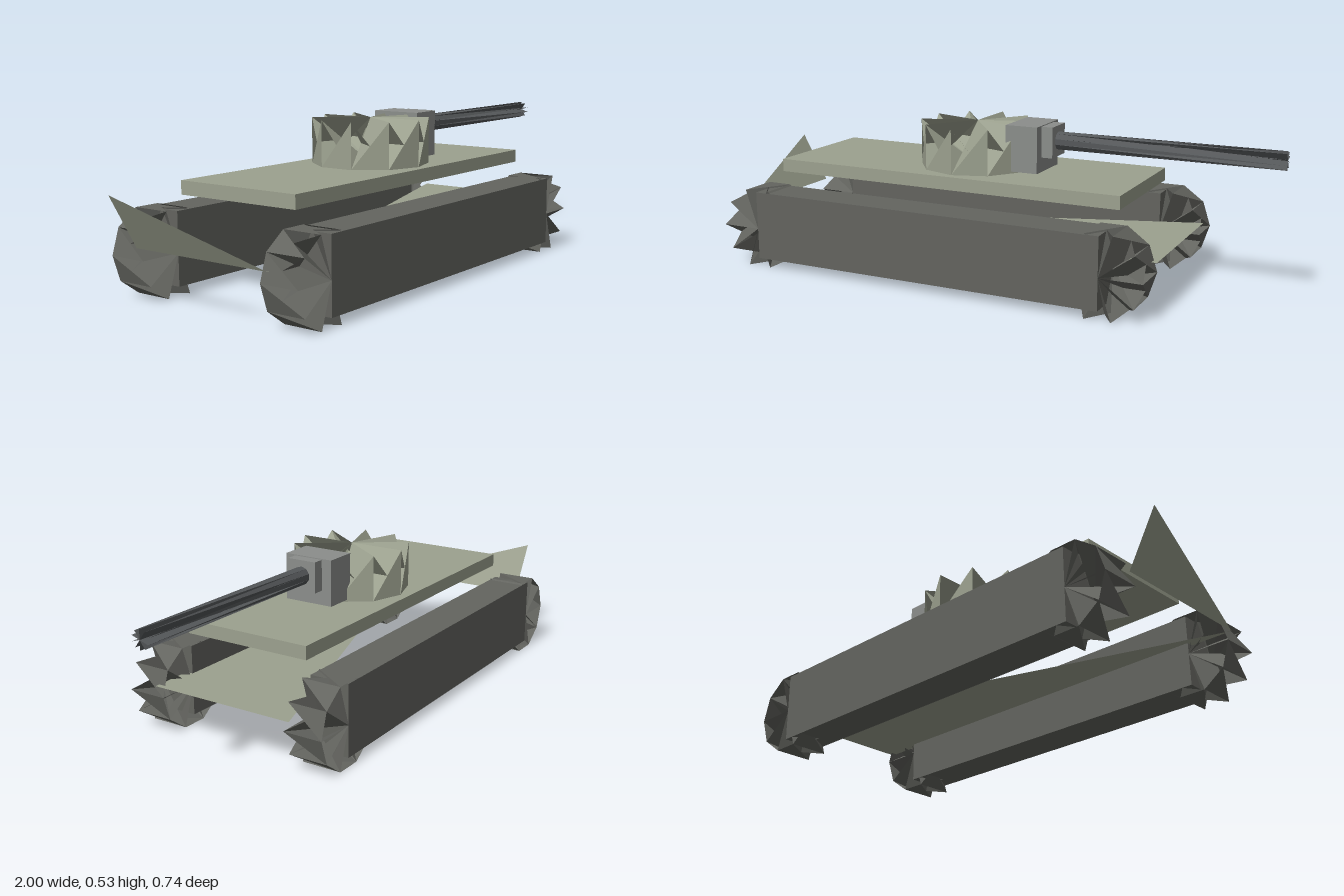
import * as THREE from 'three';

const material = (color) => new THREE.MeshStandardMaterial({ color, flatShading: true, side: THREE.DoubleSide });
const green = material(0x9ca18f);
const trackGrey = material(0x63645f);
const steel = material(0x8b8e8b);
const gunGrey = material(0x55585a);

// Box given by its limits on each axis
function box(name, [x0, x1], [y0, y1], [z0, z1], mat) {
  const mesh = new THREE.Mesh(new THREE.BoxGeometry(x1 - x0, y1 - y0, z1 - z0), mat);
  mesh.position.set((x0 + x1) / 2, (y0 + y1) / 2, (z0 + z1) / 2);
  mesh.name = name;
  return mesh;
}

function facets(points) {
  const geometry = new THREE.BufferGeometry();
  geometry.setAttribute('position', new THREE.Float32BufferAttribute(points.flat(), 3));
  geometry.computeVertexNormals();
  return geometry;
}

// Ten-sided drum along y, folded into saw-tooth fins between its two rims
function spikyDrum(name, radius, height, start, mat) {
  const n = 10, h = height / 2, points = [];
  const rim = (i, y) => {
    const a = start + (i / n) * Math.PI * 2;
    return [radius * Math.cos(a), y, radius * Math.sin(a)];
  };
  for (let i = 0; i < n; i++) {
    points.push([0, h, 0], rim(i + 1, -h), rim(i, h)); // upper fin
    points.push([0, -h, 0], rim(i, -h), rim(i + 1, h)); // lower fin
    points.push(rim(i, h), rim(i + 1, -h), rim(i, -h)); // half side panel
  }
  const mesh = new THREE.Mesh(facets(points), mat);
  mesh.name = name;
  return mesh;
}

export function createModel() {
  const model = new THREE.Group();
  model.name = 'tank';

  // Tracks with a drum at each end
  for (const side of [-1, 1]) {
    const track = new THREE.Group();
    track.name = side > 0 ? 'frontTrack' : 'backTrack';
    const zMid = side * 0.3035;
    track.add(box('trackBody', [-0.755, 0.525], [0.03, 0.27], [zMid - 0.0685, zMid + 0.0685], trackGrey));
    for (const x of [-0.755, 0.525]) {
      const drum = spikyDrum('trackDrum', 0.1445, 0.137, 0, trackGrey);
      drum.rotation.x = Math.PI / 2;
      drum.position.set(x, 0.1375, zMid);
      track.add(drum);
    }
    model.add(track);
  }

  // Lower hull: triangular floor plate and tail plate
  const floor = new THREE.Mesh(facets([
    [-0.9, 0.175, 0.26], [0.675, 0.175, 0.26], [0.675, 0.175, -0.26],
  ]), green);
  floor.name = 'hullFloor';
  const tail = new THREE.Mesh(facets([
    [-0.9, 0.175, 0.26], [-1, 0.35, -0.26], [-0.9, 0.175, -0.26],
  ]), green);
  tail.name = 'hullTail';
  model.add(floor, tail);

  // Deck and turret
  model.add(box('deck', [-0.74, 0.54], [0.32, 0.365], [-0.23, 0.23], green));
  const turret = spikyDrum('turret', 0.2, 0.157, Math.PI / 2, green);
  turret.position.set(-0.07, 0.4435, 0);
  model.add(turret);

  // Gun mount, collar and barrel
  model.add(box('gunMount', [0.08, 0.195], [0.372, 0.53], [-0.09, 0.09], steel));
  model.add(box('gunCollar', [0.195, 0.235], [0.422, 0.527], [-0.053, 0.053], steel));
  const barrel = spikyDrum('barrel', 0.031, 0.765, 0, gunGrey);
  barrel.rotation.z = -Math.PI / 2;
  barrel.position.set(0.6175, 0.475, 0);
  model.add(barrel);

  return model;
}
